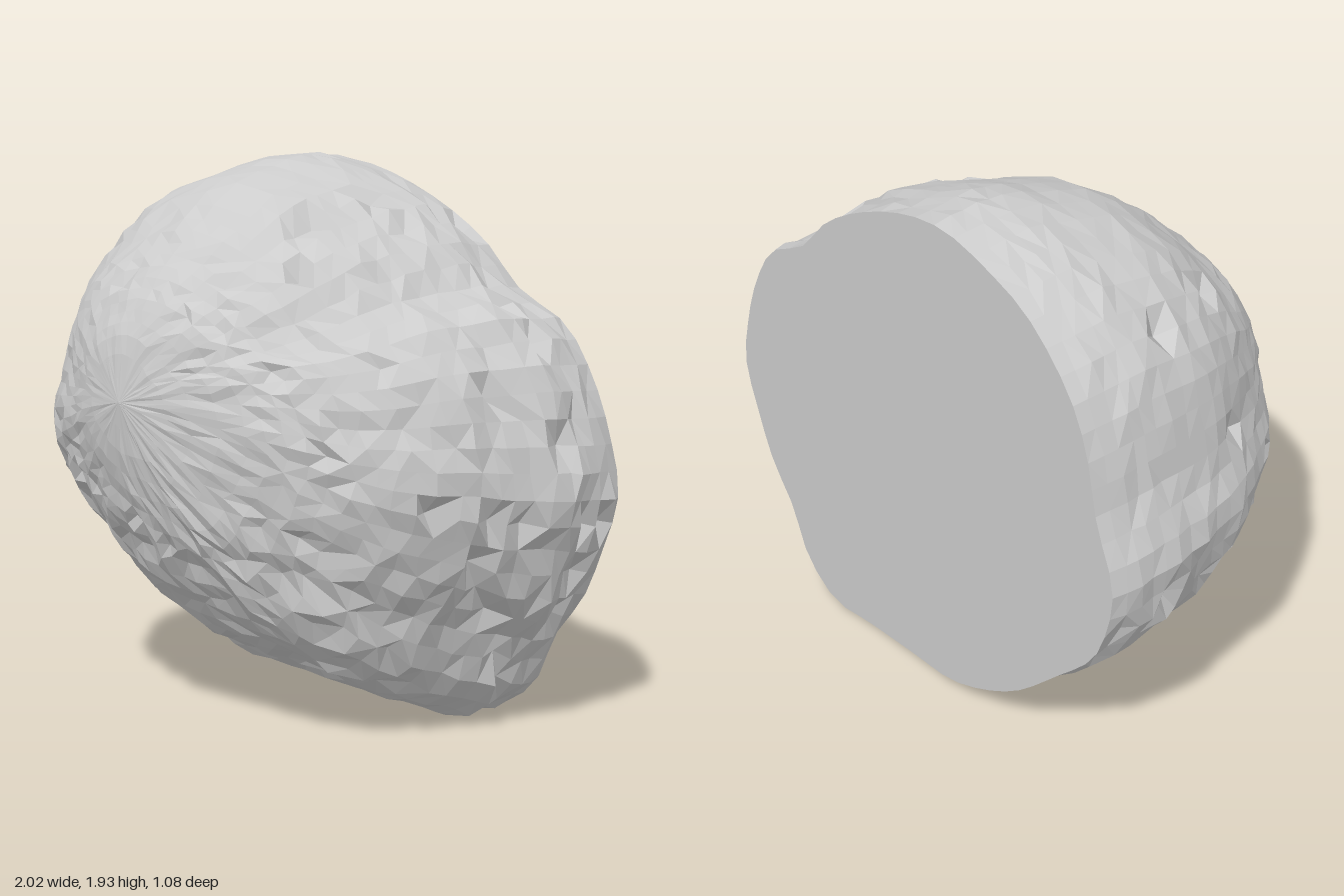
import * as THREE from 'three';

// Widest outline of the boulder, anticlockwise from +x: [x, y]
const OUTLINE = [
  [1, 0.82], [0.97, 1], [0.9, 1.2], [0.78, 1.39], [0.59, 1.5], [0.44, 1.66], [0.24, 1.79],
  [0, 1.89], [-0.2, 1.92], [-0.4, 1.88], [-0.6, 1.8], [-0.78, 1.63], [-0.87, 1.45],
  [-0.92, 1.22], [-1, 1], [-0.97, 0.8], [-0.9, 0.65], [-0.75, 0.49], [-0.5, 0.25],
  [-0.2, 0.09], [0.05, 0.06], [0.3, 0.035], [0.52, 0.01], [0.68, 0.12], [0.76, 0.3],
  [0.87, 0.45], [0.94, 0.62],
];

// Extents of each slice from the flat back to the nose: [z, xMin, xMax, yMin, yMax]
const SLICES = [
  [-0.54, -0.98, 1, 0.01, 1.9], [-0.4, -1, 1, 0.01, 1.92], [-0.27, -1, 0.98, 0.04, 1.92],
  [-0.1, -0.98, 0.89, 0.1, 1.88], [0.05, -0.94, 0.82, 0.18, 1.83], [0.2, -0.86, 0.71, 0.29, 1.73],
  [0.31, -0.79, 0.57, 0.42, 1.63], [0.4, -0.69, 0.4, 0.58, 1.54], [0.46, -0.57, 0.24, 0.72, 1.45],
  [0.51, -0.45, -0.02, 0.9, 1.34], [0.54, -0.27, -0.27, 1.14, 1.14],
];

const SEGMENTS = 64;
const RINGS = 26;

// Small seeded generator
function seeded(seed) {
  return () => {
    seed = (seed * 1664525 + 1013904223) % 4294967296;
    return seed / 4294967296;
  };
}

const spline = (points, closed) => new THREE.CatmullRomCurve3(
  points.map((p) => new THREE.Vector3(...p)), closed, 'catmullrom', 0.5);

function boulderGeometry() {
  const random = seeded(17);
  const outline = spline(OUTLINE.map(([x, y]) => [x, (y - 0.965) / 0.955, 0]), true)
    .getSpacedPoints(SEGMENTS);
  const xLimits = spline(SLICES.map(([z, x0, x1]) => [x0, x1, z]), false);
  const yLimits = spline(SLICES.map(([z, , , y0, y1]) => [y0, y1, z]), false);
  const positions = [];
  const index = [];

  // Rings from the flat cut towards the nose
  for (let i = 0; i < RINGS; i++) {
    const xs = xLimits.getPoint(i / RINGS);
    const ys = yLimits.getPoint(i / RINGS);
    const rough = i === 0 ? 0 : Math.min(1, (RINGS - i) / 8);
    for (let j = 0; j < SEGMENTS; j++) {
      const { x: u, y: v } = outline[j];
      // The upper left lobe is worn smooth; the right and lower sides are chipped
      const worn = u < 0.2 && v > 0;
      const chipped = random() < (worn ? 0.015 : 0.07);
      const inset = 1 - rough * ((random() - 0.5) * (worn ? 0.015 : 0.03) + (chipped ? 0.045 : 0));
      const x = THREE.MathUtils.lerp(xs.x, xs.y, (u * inset + 1) / 2);
      const y = THREE.MathUtils.lerp(ys.x, ys.y, (v * inset + 1) / 2);
      const z = xs.z + rough * (random() - 0.5) * (worn ? 0.015 : 0.03);
      positions.push(x, Math.max(0, y), z);

      const next = (j + 1) % SEGMENTS;
      const a = i * SEGMENTS + j;
      const b = i * SEGMENTS + next;
      if (i < RINGS - 1) {
        const c = b + SEGMENTS;
        const d = a + SEGMENTS;
        if (random() < 0.5) index.push(a, b, c, a, c, d);
        else index.push(a, b, d, b, c, d);
      } else {
        index.push(a, b, RINGS * SEGMENTS);
      }
    }
  }
  positions.push(-0.27, 1.14, 0.54);

  // Flat back
  const centre = RINGS * SEGMENTS + 1;
  positions.push(0, 0.95, -0.54);
  for (let j = 0; j < SEGMENTS; j++) index.push(centre, (j + 1) % SEGMENTS, j);

  const geometry = new THREE.BufferGeometry();
  geometry.setAttribute('position', new THREE.Float32BufferAttribute(positions, 3));
  geometry.setIndex(index);
  geometry.computeVertexNormals();
  return geometry;
}

export function createModel() {
  const model = new THREE.Group();
  model.name = 'halfBoulder';
  const boulder = new THREE.Mesh(
    boulderGeometry(),
    new THREE.MeshStandardMaterial({ color: 0xcccccc, flatShading: true }));
  boulder.name = 'boulder';
  model.add(boulder);
  return model;
}
